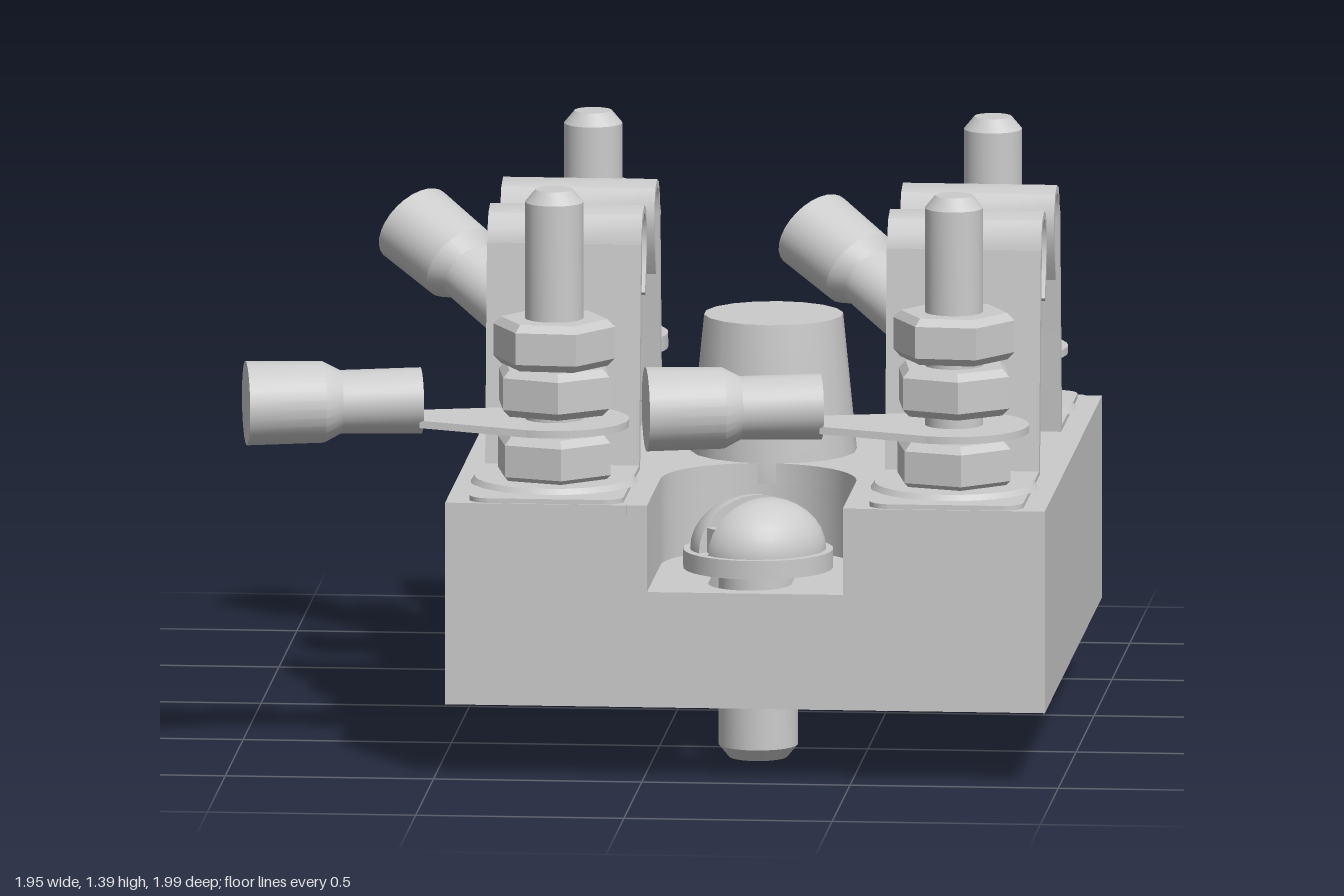
import * as THREE from 'three';
import { toCreasedNormals } from 'three/addons/utils/BufferGeometryUtils.js';
import { ConvexGeometry } from 'three/addons/geometries/ConvexGeometry.js';

const mat = new THREE.MeshStandardMaterial({ color: 0xcccccc, side: THREE.DoubleSide });
const V = (x, y, z) => new THREE.Vector3(x, y, z);

function add(parent, name, geo, x = 0, y = 0, z = 0) {
  const m = new THREE.Mesh(geo, mat);
  m.name = name;
  m.position.set(x, y, z);
  parent.add(m);
  return m;
}
const box = (w, h, d) => new THREE.BoxGeometry(w, h, d);
const lathe = (pts, seg = 24, crease = 0.5) =>
  toCreasedNormals(new THREE.LatheGeometry(pts.map(p => new THREE.Vector2(...p)), seg), crease);

// Plan shape (x, z) made into a slab hanging down from its local y = 0
function slab(shape, h) {
  const g = new THREE.ExtrudeGeometry(shape, { depth: h, bevelEnabled: false, curveSegments: 16 });
  return toCreasedNormals(g.rotateX(Math.PI / 2), 0.5);
}
// U outline in plan: round inner end at zc, open straight end at z1
function uShape(r, zc, z1) {
  const s = new THREE.Shape();
  s.moveTo(r, z1);
  s.lineTo(r, zc);
  s.absarc(0, zc, r, 0, -Math.PI, true);
  s.lineTo(-r, z1);
  s.closePath();
  return s;
}
function slotHole(r, za, zb) {
  const p = new THREE.Path();
  p.absarc(0, zb, r, 0, Math.PI, false);
  p.absarc(0, za, r, Math.PI, Math.PI * 2, false);
  p.closePath();
  return p;
}
// Bent sheet strip: path of (z, y) points with thickness t and width w along x
function strip(path, t, w) {
  const pts = path.map(p => new THREE.Vector2(...p));
  const back = pts.map((p, i) => {
    const d = pts[Math.min(i + 1, pts.length - 1)].clone().sub(pts[Math.max(i - 1, 0)]).normalize();
    return new THREE.Vector2(p.x + d.y * -t, p.y + d.x * t);
  });
  const g = new THREE.ExtrudeGeometry(new THREE.Shape([...pts, ...back.reverse()]), { depth: w, bevelEnabled: false });
  return toCreasedNormals(g.translate(0, 0, -w / 2).rotateY(-Math.PI / 2), 0.6);
}

const HX = 0.72, HZ = 0.8, TOP = 0.67, BOTTOM = 0.18, FLOOR = 0.46, WALL = 0.035;
const R = 0.235, SCREW_Z = 0.43, STUD_X = 0.48, STUD_Z = 0.545;

function nut(parent, x, y, z, turn) {
  const h = 0.113, r = 0.147, c = 0.018;
  const n = add(parent, 'hexNut', lathe([[0, 0], [r - c, 0], [r, c], [r, h - c], [r - c, h], [0, h]], 6, 0.3), x, y, z);
  n.rotation.y = turn;
}

// Slotted mounting screw standing through the pocket floor
function screw(parent) {
  const g = new THREE.Group();
  g.name = 'mountingScrew';
  g.position.set(0, 0, SCREW_Z);
  parent.add(g);
  add(g, 'screwShank', lathe([[0, 0], [0.07, 0], [0.095, 0.03], [0.095, FLOOR]]));
  add(g, 'screwWasher', new THREE.CylinderGeometry(0.18, 0.18, 0.045, 32), 0, FLOOR + 0.0225);
  const head = new THREE.Group();
  head.name = 'slottedHead';
  head.position.y = 0.505;
  head.rotation.y = 0.68;
  g.add(head);
  for (const s of [0, Math.PI]) {
    const half = new THREE.Group();
    half.rotation.y = s;
    add(half, 'domeHalf', new THREE.SphereGeometry(0.158, 16, 8, 0, Math.PI, 0, Math.PI / 2)
      .scale(1, 0.8, 0.87).translate(0, 0, 0.02));
    add(half, 'slotWall', new THREE.CircleGeometry(0.158, 16, 0, Math.PI).scale(1, 0.8, 1), 0, 0, 0.02);
    head.add(half);
  }
  add(head, 'slotFloor', box(0.27, 0.06, 0.04), 0, 0.03);
}

// Spring clip, terminal plate and stud
function terminal(parent, side) {
  const g = new THREE.Group();
  g.name = 'terminal';
  g.position.x = side * STUD_X;
  parent.add(g);
  const w = 0.37, c = 0.05, p = new THREE.Shape();
  p.moveTo(-w / 2, 0.31);
  p.lineTo(w / 2, 0.31);
  p.lineTo(w / 2, HZ - c);
  p.absarc(w / 2 - c, HZ - c, c, 0, Math.PI / 2);
  p.absarc(c - w / 2, HZ - c, c, Math.PI / 2, Math.PI);
  p.closePath();
  add(g, 'terminalPlate', slab(p, 0.02), 0, TOP + 0.012);
  add(g, 'plateLip', box(0.39, 0.025, 0.03), 0, TOP - 0.012, HZ - 0.01);
  add(g, 'springClip', strip([[0.315, 0.67], [0.262, 1.2], [0.255, 1.24], [0.23, 1.275], [0.18, 1.29],
    [0.13, 1.275], [0.1, 1.23], [0.098, 1.18], [0.115, 1.12], [0.145, 1.065]], 0.02, w));
  add(g, 'clipBacking', strip([[0.323, 0.67], [0.272, 1.21]], 0.015, w));
  // Stud with its head under the base
  add(g, 'stud', lathe([[0, 0.47], [0.17, 0.47], [0.17, 0.63], [0.07, 0.63], [0.07, 1.36], [0.045, 1.39], [0, 1.39]]), 0, 0, STUD_Z);
  add(g, 'studWasher', new THREE.CylinderGeometry(0.19, 0.2, 0.015, 32), 0, TOP + 0.018, STUD_Z);
  nut(g, 0, 0.688, STUD_Z, 0.2);
}

// Cable lug: ring, tapered tongue and crimp barrel along local +x
function lug(parent, x, z, dir, y, d0, y0, pitch, len) {
  const g = new THREE.Group();
  g.name = 'cableLug';
  g.position.set(x, 0, z);
  g.rotation.y = dir;
  parent.add(g);
  add(g, 'lugRing', new THREE.CylinderGeometry(0.18, 0.18, 0.018, 32), 0, y, 0);
  const pts = [], rise = pitch ? 0.045 : 0.012;
  for (const s of [-1, 1]) for (const k of [-1, 1]) {
    pts.push(V(0.08, y + k * 0.009, s * 0.16), V(d0 + 0.01, y + rise + k * (pitch ? 0.03 : 0.009), s * 0.075));
  }
  add(g, 'lugTongue', toCreasedNormals(new ConvexGeometry(pts), 0.4));
  const a = len * 0.46, b = len * 0.56;
  const barrel = add(g, 'crimpBarrel',
    lathe([[0, 0], [0.088, 0], [0.084, a], [0.108, b], [0.112, len], [0, len]], 28)
      .rotateZ(-Math.PI / 2).scale(1, 0.9, 1), d0, y0, 0);
  barrel.rotation.z = pitch;
}

export function createModel() {
  const model = new THREE.Group();
  model.name = 'terminalBlock';
  const body = new THREE.Group();
  body.name = 'block';
  body.position.set(0.247, 0, 0.19);
  model.add(body);

  // Hollow base: top plate notched by both pockets, plus side walls
  const top = new THREE.Shape();
  top.moveTo(HX, -HZ);
  top.lineTo(HX, HZ);
  top.lineTo(R, HZ);
  top.lineTo(R, SCREW_Z);
  top.absarc(0, SCREW_Z, R, 0, -Math.PI, true);
  top.lineTo(-R, HZ);
  top.lineTo(-HX, HZ);
  top.lineTo(-HX, -HZ);
  top.lineTo(-R, -HZ);
  top.lineTo(-R, -SCREW_Z);
  top.absarc(0, -SCREW_Z, R, Math.PI, 0, true);
  top.lineTo(R, -HZ);
  top.closePath();
  top.holes.push(new THREE.Path().absarc(0, 0, 0.18, 0, Math.PI * 2));
  add(body, 'topPlate', slab(top, 0.05), 0, TOP);
  for (const s of [-1, 1]) {
    add(body, 'sideWall', box(WALL, TOP - BOTTOM, HZ * 2), s * (HX - WALL / 2), (TOP + BOTTOM) / 2, 0);
  }

  // Hollow centre post
  add(body, 'centrePost', lathe([[0, 0.96], [0.135, 0.96], [0.165, 0.62], [0.2, 0.62], [0.2, TOP], [0.167, 1], [0, 1]], 18));

  // Each end is the same assembly turned half way round
  for (const turn of [0, Math.PI]) {
    const end = new THREE.Group();
    end.name = turn ? 'backEnd' : 'frontEnd';
    end.rotation.y = turn;
    body.add(end);

    const wall = new THREE.Shape([[-HX, BOTTOM], [HX, BOTTOM], [HX, TOP], [R, TOP], [R, FLOOR], [-R, FLOOR], [-R, TOP], [-HX, TOP]]
      .map(p => new THREE.Vector2(...p)));
    add(end, 'endWall', new THREE.ExtrudeGeometry(wall, { depth: WALL, bevelEnabled: false }), 0, 0, HZ - WALL);

    // Pocket wall, floor and slotted boss below
    const zIn = HZ - WALL / 2, ring = uShape(R + 0.045, SCREW_Z, zIn);
    const cut = uShape(R, SCREW_Z, zIn - 0.001);
    ring.holes.push(new THREE.Path(cut.getPoints(16)));
    const ringPoints = new THREE.Shape();
    ringPoints.moveTo(R + 0.045, zIn);
    ringPoints.lineTo(R + 0.045, SCREW_Z);
    ringPoints.absarc(0, SCREW_Z, R + 0.045, 0, -Math.PI, true);
    ringPoints.lineTo(-R - 0.045, zIn);
    ringPoints.lineTo(-R, zIn);
    ringPoints.lineTo(-R, SCREW_Z);
    ringPoints.absarc(0, SCREW_Z, R, Math.PI, 0, false);
    ringPoints.lineTo(R, zIn);
    ringPoints.closePath();
    add(end, 'pocketWall', slab(ringPoints, 0.23), 0, 0.65);
    for (const [name, r, y, h] of [['pocketFloor', R + 0.045, FLOOR, 0.04], ['slotBoss', 0.155, 0.42, 0.22]]) {
      const s = uShape(r, SCREW_Z, zIn);
      s.holes.push(slotHole(0.1, SCREW_Z, 0.66));
      add(end, name, slab(s, h), 0, y);
    }
    screw(end);
    for (const side of [-1, 1]) terminal(end, side);
  }

  // Clamping nuts, two per stud
  for (const sx of [-1, 1]) for (const sz of [-1, 1]) {
    const up = sx > 0 || sz < 0 ? 0.015 : 0;
    nut(body, sx * STUD_X, 0.85 + up, sz * STUD_Z, 0.15);
    nut(body, sx * STUD_X, 0.965 + up * 2, sz * STUD_Z, 0.45);
  }

  // Straight lugs at the front, bent-up lugs at the back
  const deg = Math.PI / 180;
  for (const sx of [-1, 1]) {
    lug(body, sx * STUD_X, STUD_Z, 190 * deg, 0.825, 0.32, 0.882, 0, 0.42);
    lug(body, sx * STUD_X, -STUD_Z, 141 * deg, 0.825, 0.245, 0.87, 26 * deg, 0.39);
  }
  lug(body, -STUD_X, -STUD_Z, 90 * deg, 0.843, 0.245, 0.87, 26 * deg, 0.39);
  return model;
}
